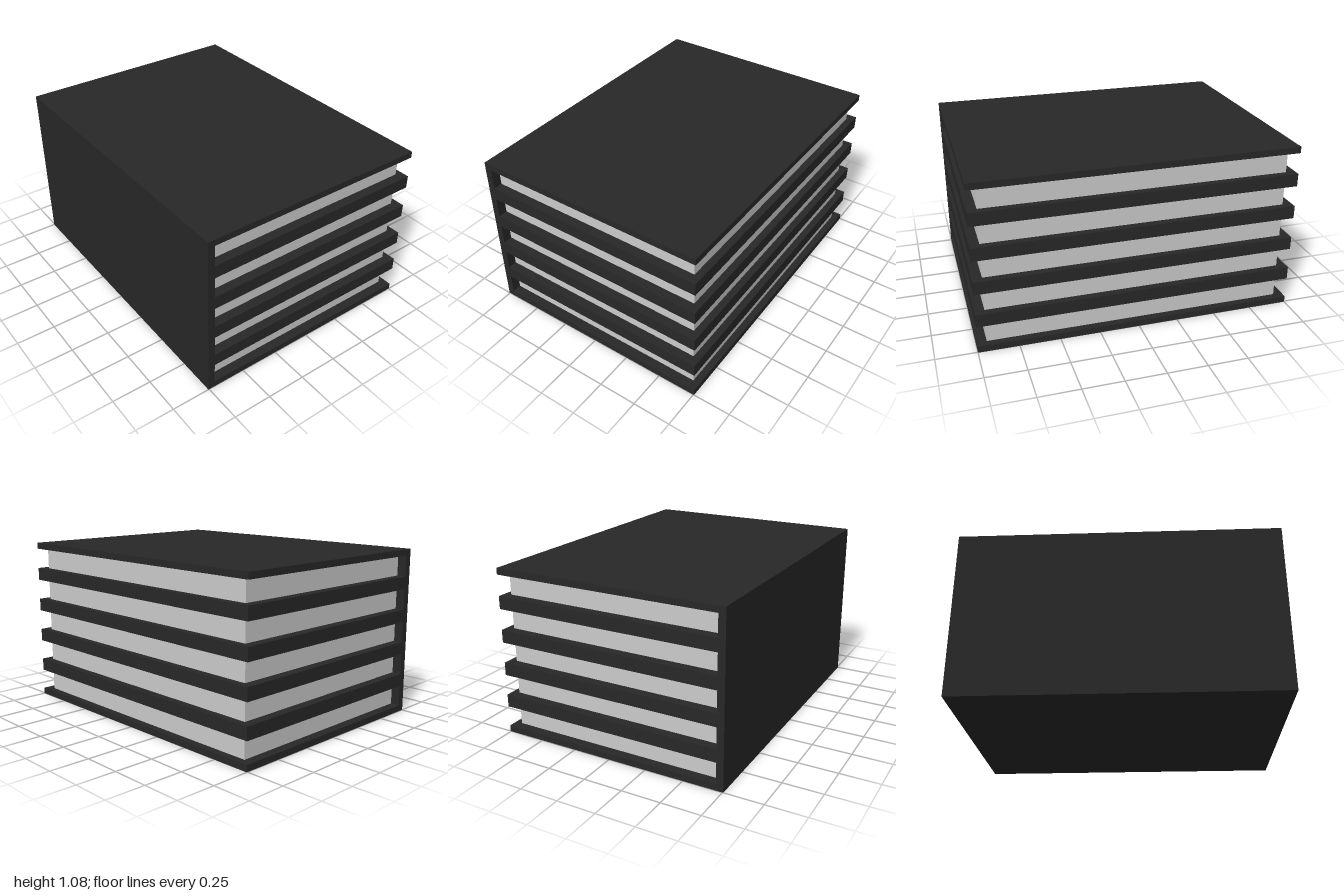
import * as THREE from 'three';

const COUNT = 5, BOOK_H = 0.216, BOARD = 0.041;
const HALF_W = 0.755, SPINE = 0.045, LENGTH = 2, PAGE_LENGTH = 1.88;

export function createModel() {
  const group = new THREE.Group();
  group.name = 'bookStack';
  const coverMat = new THREE.MeshStandardMaterial({ color: 0x282828 });
  const pageMat = new THREE.MeshStandardMaterial({ color: 0xcccccc });

  // C-shaped cover section: two boards joined by a spine on the -x side
  const inner = -HALF_W + SPINE;
  const section = new THREE.Shape([
    [-HALF_W, 0], [HALF_W, 0], [HALF_W, BOARD], [inner, BOARD],
    [inner, BOOK_H - BOARD], [HALF_W, BOOK_H - BOARD], [HALF_W, BOOK_H], [-HALF_W, BOOK_H],
  ].map(([x, y]) => new THREE.Vector2(x, y)));
  const coverGeo = new THREE.ExtrudeGeometry(section, { depth: LENGTH, bevelEnabled: false });
  coverGeo.translate(0, 0, -LENGTH / 2);

  // Page block, set back from the three open edges
  const pageGeo = new THREE.BoxGeometry(-2 * inner, BOOK_H - 2 * BOARD, PAGE_LENGTH);
  pageGeo.translate(0, BOOK_H / 2, 0);

  for (let i = 0; i < COUNT; i++) {
    const book = new THREE.Group();
    book.name = `book${i + 1}`;
    const cover = new THREE.Mesh(coverGeo, coverMat);
    cover.name = 'cover';
    const pages = new THREE.Mesh(pageGeo, pageMat);
    pages.name = 'pages';
    book.add(cover, pages);
    book.position.y = i * BOOK_H;
    group.add(book);
  }
  return group;
}
